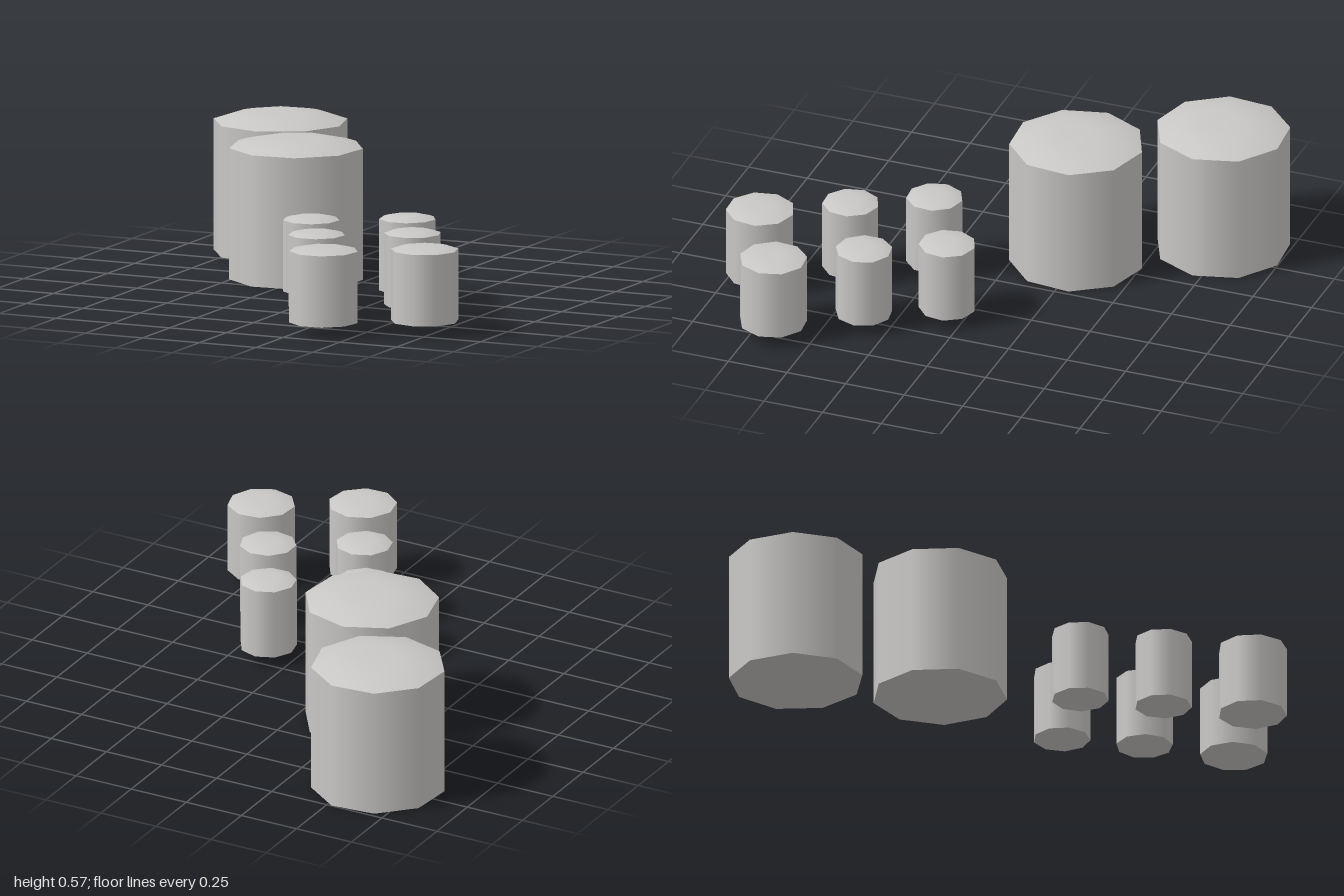
import * as THREE from 'three';

const SIDES = 9;
const rad = THREE.MathUtils.degToRad;

// One nine-sided post: flat base, smooth wall and a shallow domed top.
function makePost(name, { x, z, r, y0, y1, rise, turn }, material) {
  const post = new THREE.Group();
  post.name = name;
  post.position.set(x, 0, z);
  const profiles = {
    base: [[0, y0], [r, y0]],
    wall: [[r, y0], [r, y1]],
    domedTop: [
      [r, y1], [r * 0.83, y1 + rise * 0.42], [r * 0.62, y1 + rise * 0.76],
      [r * 0.4, y1 + rise * 0.95], [r * 0.2, y1 + rise], [0, y1 + rise],
    ],
  };
  for (const [part, points] of Object.entries(profiles)) {
    const geometry = new THREE.LatheGeometry(
      points.map(([px, py]) => new THREE.Vector2(px, py)), SIDES, rad(90 - turn));
    const mesh = new THREE.Mesh(geometry, material);
    mesh.name = part;
    post.add(mesh);
  }
  return post;
}

export function createModel() {
  const model = new THREE.Group();
  model.name = 'posts';
  const stone = new THREE.MeshStandardMaterial({ color: 0xcac8c6 });
  stone.name = 'pale grey';

  // Two tall posts: x, z, radius, turn in degrees
  [
    [-0.59, -0.737, 0.27, 5],
    [-0.282, -0.237, 0.27, -14],
  ].forEach(([x, z, r, turn], i) => model.add(makePost(
    `tallPost${i + 1}`, { x, z, r, turn, y0: 0, y1: 0.53, rise: 0.036 }, stone)));

  // Two rows of short posts, raised slightly
  [
    [0.354, 0.068, 0.114, -12],
    [0.018, 0.253, 0.114, -15],
    [0.516, 0.361, 0.114, 0],
    [0.182, 0.547, 0.114, -13],
    [0.716, 0.67, 0.136, 4],
    [0.363, 0.862, 0.138, -12],
  ].forEach(([x, z, r, turn], i) => model.add(makePost(
    `shortPost${i + 1}`, { x, z, r, turn, y0: 0.05, y1: 0.338, rise: 0.016 }, stone)));

  return model;
}
